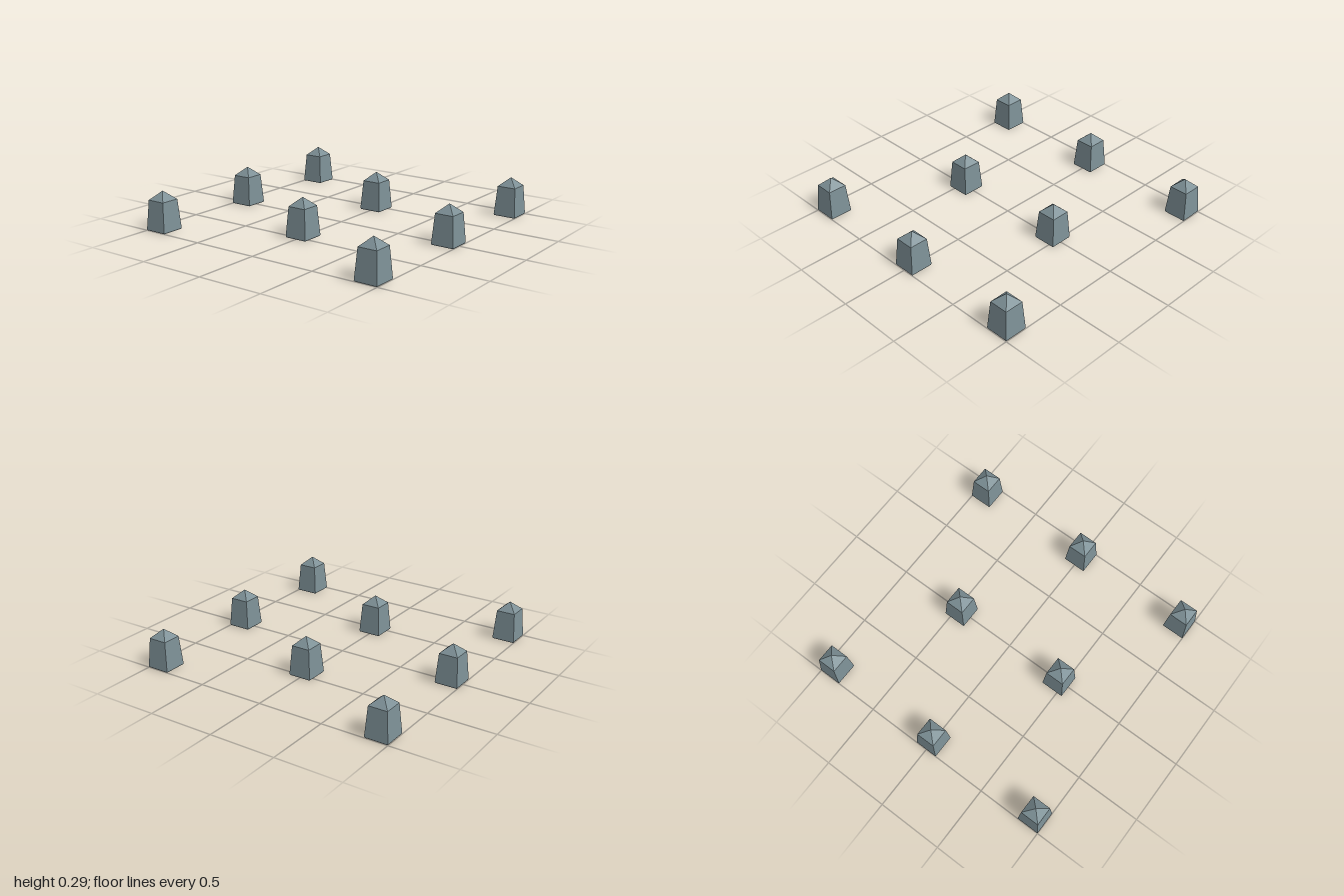
import * as THREE from 'three';

export function createModel() {
  const group = new THREE.Group();
  group.name = 'bollardField';

  const stone = new THREE.MeshStandardMaterial({ color: 0x7d9096, flatShading: true });
  stone.name = 'blue grey stone';

  // Square post: half width and height from the underside to the pointed cap
  const profile = [
    [0, 0], [0.083, 0], [0.087, 0.009], [0.071, 0.225], [0, 0.29],
  ].map(([half, y]) => new THREE.Vector2(half * Math.SQRT2, y));
  const post = new THREE.LatheGeometry(profile, 4).rotateY(Math.PI / 4);

  // Staggered rows: three at the front and back, two between them
  const d = 0.913;
  const rows = { front: [d, [-d, 0, d]], middle: [0, [-d / 2, d / 2]], back: [-d, [-d, 0, d]] };
  for (const [row, [z, xs]] of Object.entries(rows)) {
    for (const x of xs) {
      const mesh = new THREE.Mesh(post, stone);
      const side = x > 0 ? 'Left' : x < 0 ? 'Right' : 'Centre';
      mesh.name = `${row}${side}Post`;
      mesh.position.set(x, 0, z);
      group.add(mesh);
    }
  }
  return group;
}
